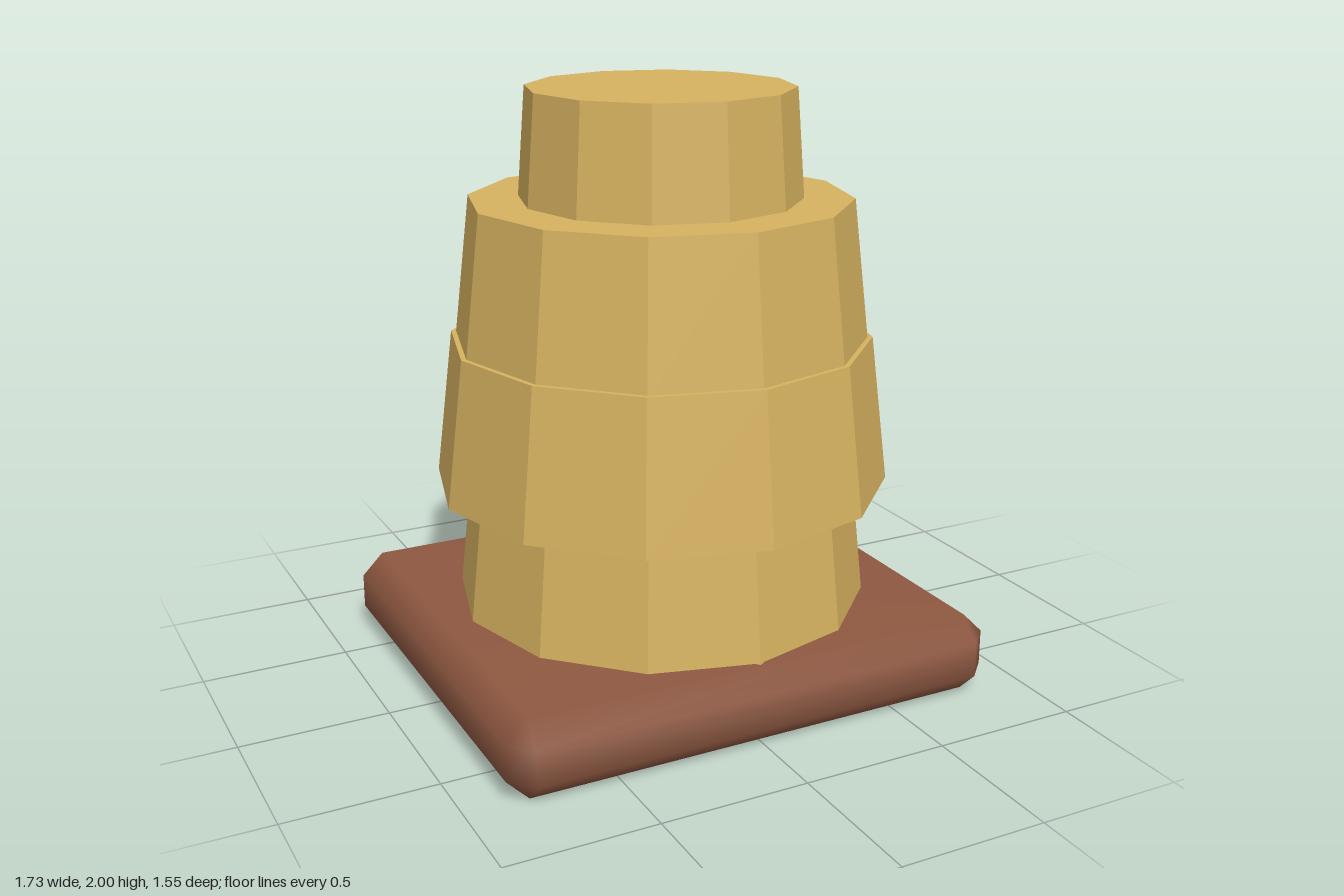
import * as THREE from 'three';
import { mergeVertices } from 'three/addons/utils/BufferGeometryUtils.js';
import { ConvexGeometry } from 'three/addons/geometries/ConvexGeometry.js';

// Box with one chamfer on every edge, shaded smoothly across the chamfers
function chamferedBox(w, h, d, c) {
  const points = [];
  for (const sx of [-1, 1]) for (const sy of [-1, 1]) for (const sz of [-1, 1]) {
    const x = w / 2, y = h / 2, z = d / 2;
    points.push(
      new THREE.Vector3(sx * x, sy * (y - c), sz * (z - c)),
      new THREE.Vector3(sx * (x - c), sy * y, sz * (z - c)),
      new THREE.Vector3(sx * (x - c), sy * (y - c), sz * z)
    );
  }
  const raw = new ConvexGeometry(points);
  raw.deleteAttribute('normal');
  const geometry = mergeVertices(raw, 1e-4);
  geometry.computeVertexNormals();
  return geometry;
}

export function createModel() {
  const model = new THREE.Group();
  model.name = 'tieredTower';

  const material = (name, color) => {
    const m = new THREE.MeshStandardMaterial({ color });
    m.name = name;
    return m;
  };
  const straw = material('straw', 0xd6b260);
  const brown = material('brown', 0x8e5841);
  const navy = material('darkBlue', 0x2a4254);
  straw.flatShading = true;
  navy.flatShading = true;

  const add = (name, geometry, mat, x, y, z) => {
    const mesh = new THREE.Mesh(geometry, mat);
    mesh.name = name;
    mesh.position.set(x, y, z);
    model.add(mesh);
    return mesh;
  };

  // Slab the tower stands on
  add('base', chamferedBox(1.73, 0.27, 1.54, 0.075), brown, 0, 0.135, 0.005);

  // Tapered twelve-sided tiers: name, bottom y, top y, bottom radius, top radius
  const tiers = [
    ['bottomTier', 0.25, 0.69, 0.702, 0.655],
    ['wideTier', 0.68, 1.175, 0.768, 0.707],
    ['upperTier', 1.165, 1.64, 0.691, 0.635],
    ['topTier', 1.63, 2.0, 0.469, 0.441],
  ];
  for (const [name, y0, y1, r0, r1] of tiers) {
    add(name, new THREE.CylinderGeometry(r1, r0, y1 - y0, 12), straw, 0, (y0 + y1) / 2, 0.005);
  }

  // Flattened oval knob on the back
  const knob = add('backKnob', new THREE.SphereGeometry(1, 16, 10), navy, 0, 0.735, -0.733);
  knob.scale.set(0.185, 0.14, 0.038);

  return model;
}
